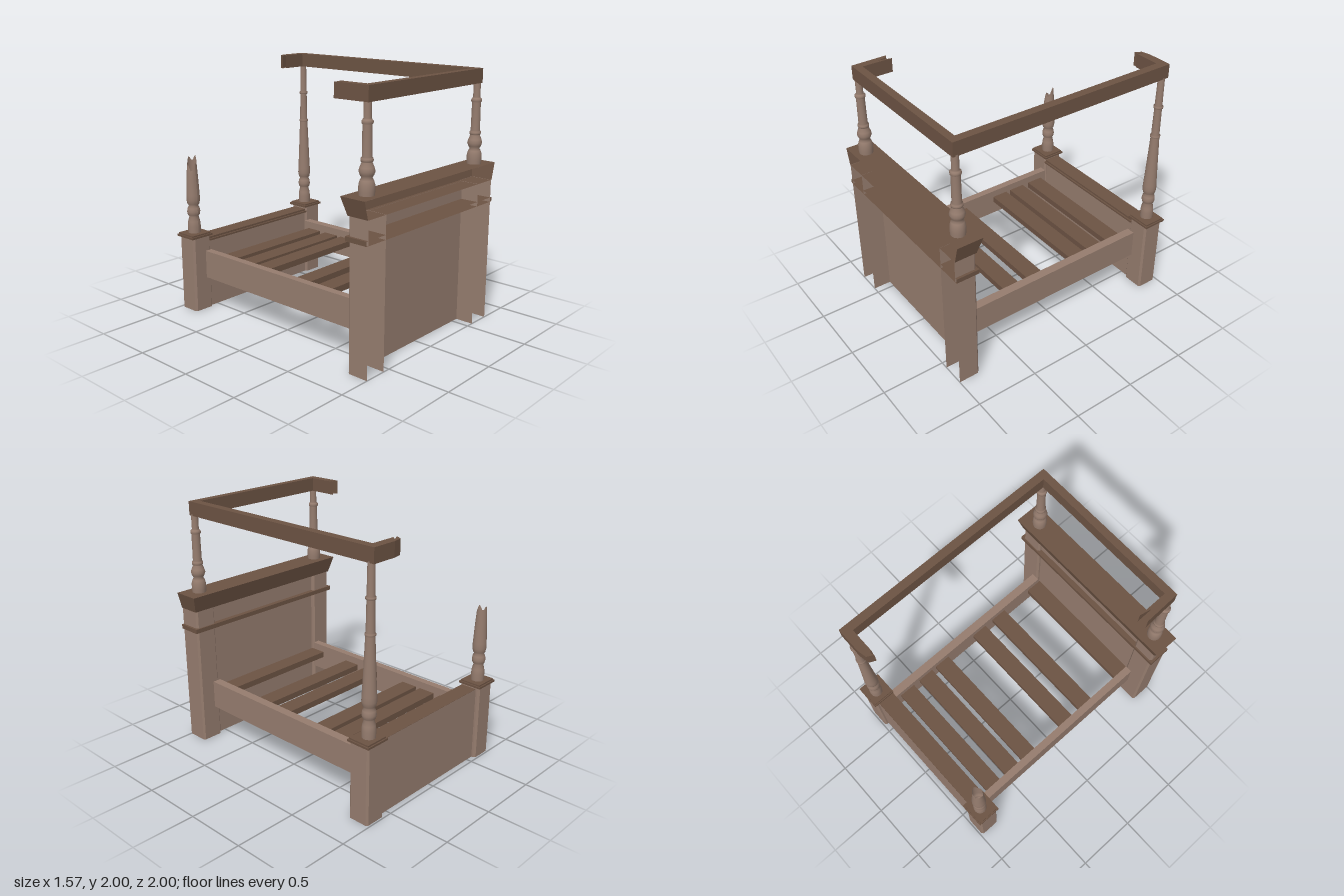
import * as THREE from 'three';

const mat = (color) => new THREE.MeshStandardMaterial({ color, side: THREE.DoubleSide });

export function createModel() {
  const bed = new THREE.Group();
  bed.name = 'fourPosterBed';
  const light = mat(0x957c6e), dark = mat(0x6c5343);
  const add = (name, geometry, material) => {
    const mesh = new THREE.Mesh(geometry, material);
    mesh.name = name;
    bed.add(mesh);
    return mesh;
  };

  // Box between two corners; faces listed in skip (0..5 = +x -x +y -y +z -z) are left open
  const box = (x0, x1, y0, y1, z0, z1, skip = []) => {
    const g = new THREE.BoxGeometry(x1 - x0, y1 - y0, z1 - z0);
    g.setIndex(Array.from(g.index.array).filter((_, i) => !skip.includes(Math.floor(i / 6))));
    g.clearGroups();
    return g.translate((x0 + x1) / 2, (y0 + y1) / 2, (z0 + z1) / 2);
  };

  // Thin upright walls following a plan outline of [x, z] points
  const walls = (plan, y0, y1) => {
    const p = [];
    for (let i = 0; i + 1 < plan.length; i++) {
      const [ax, az] = plan[i], [bx, bz] = plan[i + 1];
      p.push(ax, y0, az, bx, y0, bz, bx, y1, bz, ax, y0, az, bx, y1, bz, ax, y1, az);
    }
    const g = new THREE.BufferGeometry();
    g.setAttribute('position', new THREE.Float32BufferAttribute(p, 3));
    g.computeVertexNormals();
    return g;
  };

  // Turned post from [radius, height] points
  const turned = (profile) =>
    new THREE.LatheGeometry(profile.map(([r, y]) => new THREE.Vector2(r, y)), 20);

  const headProfile = [
    [0.052, 1.25], [0.057, 1.3], [0.056, 1.345], [0.047, 1.375], [0.037, 1.39], [0.048, 1.41],
    [0.057, 1.435], [0.05, 1.46], [0.036, 1.495], [0.042, 1.5], [0.044, 1.51], [0.042, 1.522],
    [0.035, 1.53], [0.033, 1.745], [0.04, 1.75], [0.04, 1.768], [0.033, 1.775], [0.027, 1.785], [0.027, 1.9]];
  const footProfile = [
    [0.05, 0.64], [0.052, 0.7], [0.048, 0.74], [0.037, 0.78], [0.048, 0.795], [0.053, 0.82], [0.048, 0.85],
    [0.037, 0.87], [0.048, 0.885], [0.055, 0.92], [0.053, 0.96], [0.047, 1.08], [0.034, 1.39], [0.039, 1.395],
    [0.039, 1.408], [0.032, 1.415], [0.029, 1.64], [0.037, 1.645], [0.037, 1.66], [0.029, 1.665], [0.026, 1.9]];

  for (const s of [1, -1]) {
    const side = s > 0 ? 'left' : 'right';

    // Headboard stiles, channels open to the rear
    add(side + 'HeadStile', walls([[0.743, 1], [0.743, 0.84], [0.728, 0.825], [0.575, 0.825],
      [0.56, 0.84], [0.56, 1]].map(([x, z]) => [s * x, z]), 0, 1.14), light);
    add(side + 'HeadPost', turned(headProfile), light).position.set(s * 0.645, 0, 0.9);

    // Footboard pedestals with chamfered corners and a stepped cap
    const a = 0.0875, b = 0.072;
    add(side + 'FootPedestal', walls([[a, b], [b, a], [-b, a], [-a, b], [-a, -b], [-b, -a], [b, -a], [a, -b], [a, b]]
      .map(([x, z]) => [s * 0.652 + x, -0.898 + z]), 0, 0.62), light);
    const c = s * 0.652;
    add(side + 'FootCap', box(c - 0.103, c + 0.103, 0.617, 0.633, -1, -0.805), dark);
    add(side + 'FootCapTop', box(c - 0.093, c + 0.093, 0.633, 0.645, -0.99, -0.815), dark);

    // Side rails, hollow and open below
    const [x0, x1] = s > 0 ? [0.545, 0.615] : [-0.62, -0.56];
    add(side + 'SideRail', box(x0, x1, 0.267, 0.495, -0.812, 0.825, [3, 4, 5]), light);
  }

  // Foot posts: the left is whole, the right is snapped off with a ragged top
  add('leftFootPost', turned(footProfile), light).position.set(0.645, 0, -0.907);
  const stump = turned([...footProfile.slice(0, 12), [0.0435, 1.14], [0.039, 1.27]]);
  const sp = stump.attributes.position;
  for (let i = 0; i < sp.count; i++) {
    if (sp.getY(i) > 1.2) {
      const t = Math.atan2(sp.getZ(i), sp.getX(i));
      sp.setY(i, 1.22 + 0.04 * Math.cos(t + 0.6) + 0.025 * Math.cos(t * 4));
    }
  }
  stump.computeVertexNormals();
  add('rightFootPostBroken', stump, light).position.set(-0.65, 0, -0.907);

  // Headboard panel, moulding and flared crown, all open to the rear
  add('headPanel', walls([[-0.56, 0.855], [0.56, 0.855]], 0, 1.14), light);
  add('headMoulding', box(-0.762, 0.762, 0.963, 0.998, 0.814, 1, [4]), dark);
  const crown = box(-0.785, 0.785, 1.138, 1.272, 0.79, 1, [4]);
  const cp = crown.attributes.position;
  for (let i = 0; i < cp.count; i++) {
    if (cp.getY(i) < 1.2) {
      cp.setX(i, Math.sign(cp.getX(i)) * 0.75);
      if (cp.getZ(i) < 0.9) cp.setZ(i, 0.825);
    }
  }
  crown.computeVertexNormals();
  add('headCrown', crown, dark);

  // Footboard panel with a two-step top rail overhanging inward
  add('footPanel', box(-0.57, 0.57, 0, 0.6, -0.955, -0.83, [2, 3]), light);
  add('footTopRail', box(-0.57, 0.57, 0.585, 0.601, -0.954, -0.823), dark);
  add('footTopRailLip', box(-0.57, 0.57, 0.57, 0.585, -0.85, -0.81), dark);

  // Slats: channels open below
  for (const z of [-0.687, -0.484, -0.3, 0.128, 0.352, 0.774]) {
    add('slat', box(-0.56, 0.545, 0.385, 0.435, z - 0.071, z + 0.071, [0, 1, 3]), dark);
  }

  // Canopy frame in plan: hollow and broken off at both ends
  const outer = [[-0.68, 0.64], [-0.673, 0.93], [0.67, 0.93], [0.67, -0.95], [0.47, -0.95],
    [0.395, -0.935], [0.37, -0.885]];
  const inner = [[0.4, -0.88], [0.605, -0.88], [0.605, 0.87], [-0.612, 0.87], [-0.612, 0.63]];
  const outline = [...outer, [0.43, -0.915], ...inner, [-0.635, 0.73], [-0.65, 0.66]];
  add('canopyOuterFace', walls(outer, 1.89, 2), dark);
  add('canopyInnerFace', walls(inner, 1.89, 2), dark);
  const plan = new THREE.ShapeGeometry(new THREE.Shape(outline.map(([x, z]) => new THREE.Vector2(x, -z))));
  plan.rotateX(-Math.PI / 2);
  add('canopyTop', plan, dark).position.y = 2;
  add('canopyUnderside', plan, dark).position.y = 1.89;

  return bed;
}
